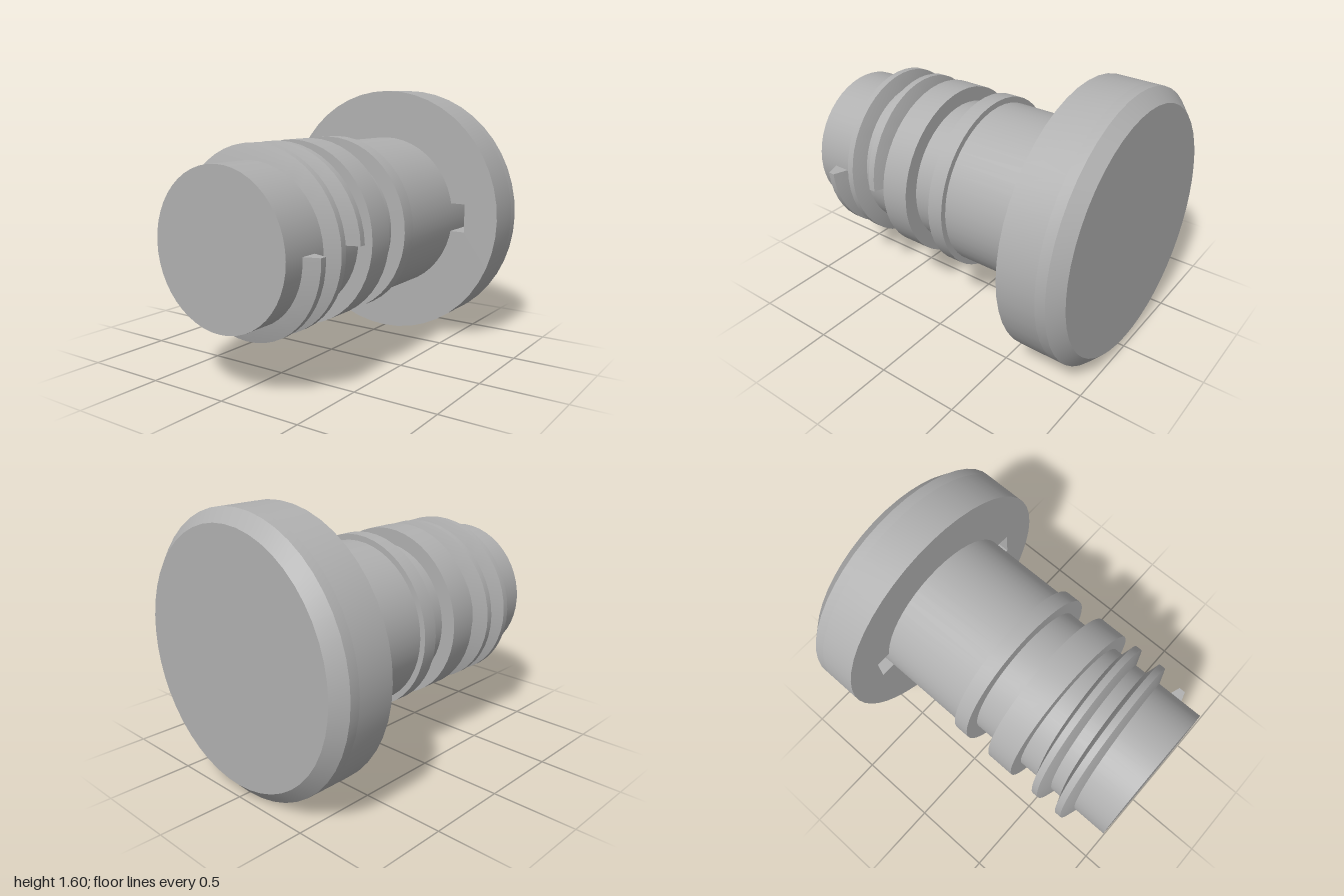
import * as THREE from 'three';
import { toCreasedNormals } from 'three/addons/utils/BufferGeometryUtils.js';

const SIDES = 48;
const AXIS_Y = 0.8;
const CREASE = 0.4;

export function createModel() {
  const group = new THREE.Group();
  const grey = new THREE.MeshStandardMaterial({ color: 0xb0b0b0 });
  grey.name = 'plain grey';

  const add = (name, geometry) => {
    const mesh = new THREE.Mesh(toCreasedNormals(geometry, CREASE), grey);
    mesh.name = name;
    mesh.position.y = AXIS_Y;
    group.add(mesh);
  };

  // Solid of revolution about z, from [radius, z] pairs running back to front
  const turned = (profile) =>
    new THREE.LatheGeometry(profile.map(([r, z]) => new THREE.Vector2(r, z)), SIDES).rotateX(Math.PI / 2);

  // Stepped shaft with its two collars
  add('shaft', turned([
    [0.495, -0.9], [0.495, -0.065], [0.53, -0.065], [0.53, 0.03], [0.44, 0.03],
    [0.44, 0.2], [0.53, 0.2], [0.53, 0.375], [0.44, 0.375], [0.44, 1], [0, 1],
  ]));

  // Rear of the head with a chamfered rim
  add('headBack', turned([[0, -1], [0.725, -1], [0.8, -0.93], [0.8, -0.87], [0, -0.87]]));

  // Front of the head with a rectangular pocket on each side of the shaft
  const disc = new THREE.Shape().absarc(0, 0, 0.8, 0, Math.PI * 2, false);
  for (const side of [-1, 1]) {
    const pocket = [[0.47, -0.09], [0.58, -0.09], [0.58, 0.09], [0.47, 0.09]];
    disc.holes.push(new THREE.Path(pocket.map(([x, y]) => new THREE.Vector2(side * x, y))));
  }
  const headFront = new THREE.ExtrudeGeometry(disc, { depth: 0.23, bevelEnabled: false, curveSegments: SIDES / 2 });
  add('headFront', headFront.translate(0, 0, -0.87));

  add('thread', threadGeometry());
  return group;
}

// Two turns of a trapezoid ridge, starting near the tip on the +x side
function threadGeometry() {
  const section = [[0.43, -0.052], [0.44, -0.05], [0.53, -0.02], [0.53, 0.02], [0.44, 0.05], [0.43, 0.052]];
  const turns = 2, pitch = 0.175, startZ = 0.82;
  const steps = turns * SIDES;
  const positions = [];
  const point = (i, j) => {
    const t = (i / SIDES) * Math.PI * 2;
    const [r, dz] = section[j];
    return [r * Math.cos(t), -r * Math.sin(t), startZ - (pitch * i) / SIDES + dz];
  };
  const triangle = (a, b, c) => positions.push(...a, ...b, ...c);

  for (let i = 0; i < steps; i++) {
    for (let j = 0; j < section.length - 1; j++) {
      const a = point(i, j), b = point(i, j + 1), c = point(i + 1, j + 1), d = point(i + 1, j);
      triangle(a, b, c);
      triangle(a, c, d);
    }
  }
  // Flat ends
  for (let j = 1; j < section.length - 1; j++) {
    triangle(point(0, 0), point(0, j + 1), point(0, j));
    triangle(point(steps, 0), point(steps, j), point(steps, j + 1));
  }
  const geometry = new THREE.BufferGeometry();
  geometry.setAttribute('position', new THREE.Float32BufferAttribute(positions, 3));
  return geometry;
}
